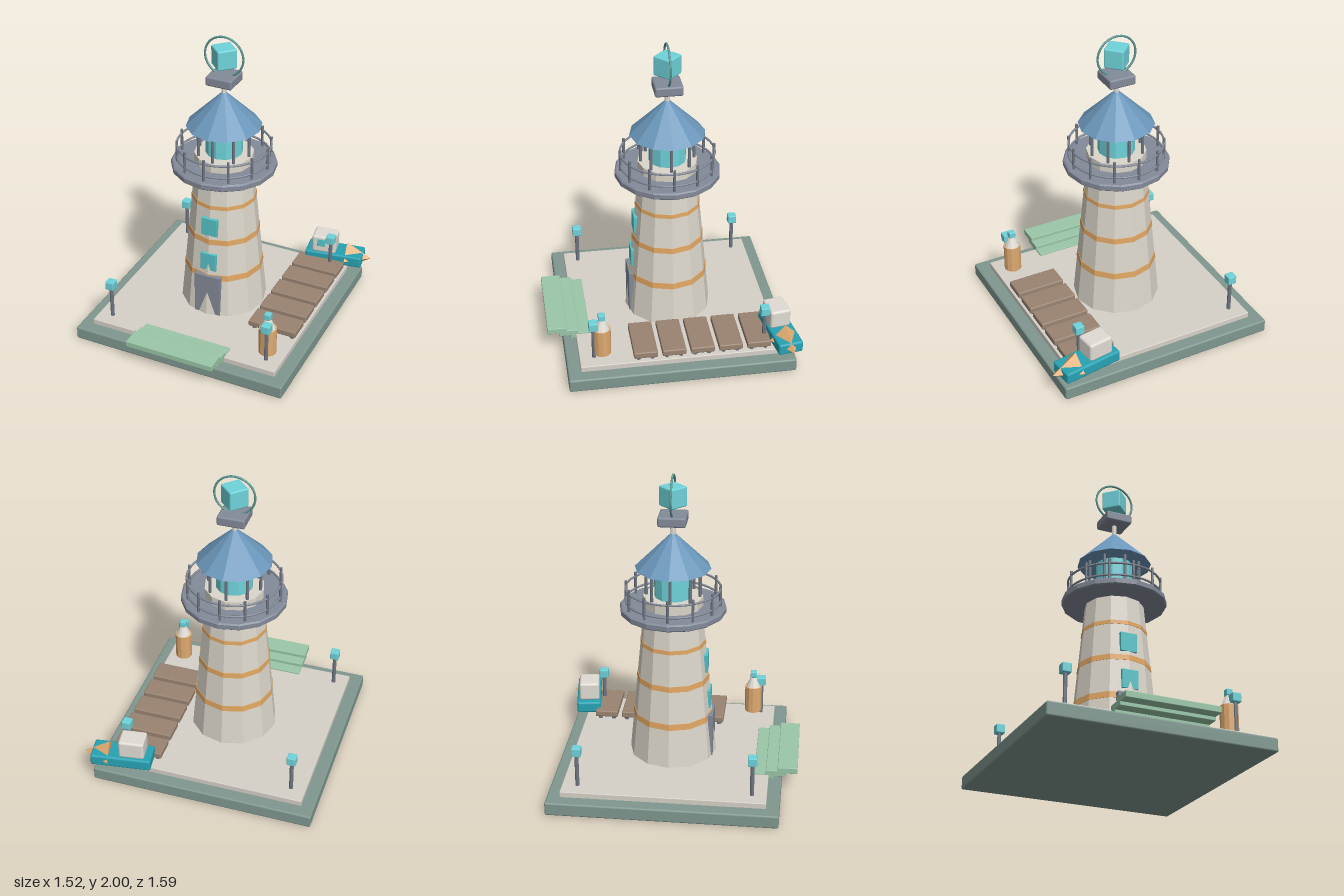
import * as THREE from 'three';
import { RoundedBoxGeometry } from 'three/addons/geometries/RoundedBoxGeometry.js';

const CX = -0.036, CZ = -0.034; // centre of the base and tower

const colors = {
  base: 0x7f978f, slab: 0xd6d1c8, wall: 0xdcd7cb, band: 0xe0a662, metal: 0x838a99, post: 0x6f7682,
  roof: 0x6b97bb, glass: 0x6fd3da, pane: 0x55c4c8, ring: 0x5f9a94, step: 0x9ac6a8, plank: 0x9a8472,
  hull: 0x27a3b4, wood: 0xdfaa70, white: 0xe0dcd4,
};
const mats = {};
function mat(name, flat = false) {
  const key = name + flat;
  mats[key] ??= new THREE.MeshStandardMaterial({ color: colors[name], flatShading: flat });
  return mats[key];
}

function add(parent, name, geometry, material, x = 0, y = 0, z = 0) {
  const mesh = new THREE.Mesh(geometry, material);
  mesh.name = name;
  mesh.position.set(x, y, z);
  parent.add(mesh);
  return mesh;
}

// Softly bevelled box, placed by its centre
function box(parent, name, color, [w, h, d], [x, y, z], bevel = 0.006) {
  return add(parent, name, new RoundedBoxGeometry(w, h, d, 2, bevel), mat(color), x, y, z);
}

// Faceted tapered column between two heights
function column(parent, name, color, rBottom, rTop, y0, y1, sides = 12, x = 0, z = 0) {
  const geometry = new THREE.CylinderGeometry(rTop, rBottom, y1 - y0, sides);
  return add(parent, name, geometry, mat(color, true), x, (y0 + y1) / 2, z);
}

function group(parent, name, x = 0, y = 0, z = 0) {
  const g = new THREE.Group();
  g.name = name;
  g.position.set(x, y, z);
  parent.add(g);
  return g;
}

// Evenly spaced upright posts around the tower axis
function postRing(parent, name, count, radius, thickness, y0, y1) {
  for (let i = 0; i < count; i++) {
    const a = (i / count) * Math.PI * 2;
    column(parent, name, 'post', thickness, thickness, y0, y1, 8, Math.sin(a) * radius, Math.cos(a) * radius);
  }
}

function hoop(parent, name, color, radius, tube, y) {
  return add(parent, name, new THREE.TorusGeometry(radius, tube, 8, 48), mat(color), 0, y, 0);
}

function buildTower(root) {
  const tower = group(root, 'tower', CX, 0, CZ);
  const Y0 = 0.12, Y1 = 1.092, R0 = 0.282, R1 = 0.19;
  const radiusAt = y => R0 + (R1 - R0) * (y - Y0) / (Y1 - Y0);
  column(tower, 'towerWall', 'wall', R0, R1, Y0, Y1);

  // Painted bands follow the taper
  for (const [y, h] of [[0.403, 0.04], [0.66, 0.036], [0.905, 0.026]]) {
    column(tower, 'band', 'band', radiusAt(y - h / 2) + 0.003, radiusAt(y + h / 2) + 0.003, y - h / 2, y + h / 2);
  }

  // Door and windows, just cut by the front ridge of the wall
  box(tower, 'door', 'metal', [0.18, 0.295, 0.04], [0, 0.27, 0.246], 0.004);
  box(tower, 'lowerWindow', 'pane', [0.11, 0.126, 0.03], [0, 0.513, 0.231], 0.004);
  box(tower, 'upperWindow', 'pane', [0.11, 0.126, 0.03], [0, 0.766, 0.211], 0.004);

  // Gallery deck with chamfered rim
  const rim = [[0, 1.104], [0.328, 1.104], [0.337, 1.112], [0.337, 1.142], [0.328, 1.15], [0, 1.15]]
    .map(p => new THREE.Vector2(...p));
  add(tower, 'galleryDeck', new THREE.LatheGeometry(rim, 16), mat('metal', true));

  // Railing
  postRing(tower, 'railPost', 12, 0.298, 0.009, 1.145, 1.295);
  for (const y of [1.185, 1.267]) hoop(tower, 'rail', 'metal', 0.298, 0.007, y).rotation.x = Math.PI / 2;

  // Lantern room
  column(tower, 'lanternCurb', 'wall', 0.19, 0.19, 1.15, 1.21);
  column(tower, 'lanternGlass', 'glass', 0.118, 0.118, 1.205, 1.405);
  postRing(tower, 'lanternPost', 8, 0.17, 0.01, 1.2, 1.405);
  column(tower, 'roof', 'roof', 0.24, 0.004, 1.4, 1.635);

  // Beacon above the roof
  column(tower, 'finial', 'white', 0.017, 0.017, 1.6, 1.695, 8);
  box(tower, 'beaconBase', 'metal', [0.176, 0.063, 0.176], [0, 1.72, 0], 0.012);
  box(tower, 'beaconCube', 'glass', [0.126, 0.128, 0.126], [0, 1.865, 0], 0.01).rotation.y = Math.PI / 4;
  hoop(tower, 'beaconRing', 'ring', 0.128, 0.007, 1.865);
}

function buildGround(root) {
  box(root, 'base', 'base', [1.45, 0.088, 1.45], [CX, 0.044, CZ], 0.012);
  box(root, 'slab', 'slab', [1.285, 0.045, 1.285], [CX, 0.102, CZ], 0.005);

  // Front steps rise outward
  for (let i = 0; i < 3; i++) {
    box(root, 'step', 'step', [0.6, 0.04, 0.127], [CX, 0.115 + i * 0.023, 0.579 + i * 0.074], 0.004);
  }

  // Plank walk on short legs
  for (let i = 0; i < 5; i++) {
    const z = -0.53 + i * 0.1815;
    box(root, 'plank', 'plank', [0.325, 0.043, 0.152], [0.441, 0.168, z], 0.008);
    for (const x of [0.31, 0.572]) {
      for (const dz of [-0.045, 0.045]) column(root, 'plankLeg', 'post', 0.014, 0.014, 0.12, 0.155, 8, x, z + dz);
    }
  }

  // Corner lamps
  for (const x of [-0.585, 0.51]) {
    for (const z of [-0.578, 0.516]) {
      column(root, 'lampPost', 'post', 0.013, 0.013, 0.12, 0.345, 8, x, z);
      box(root, 'lampHead', 'glass', [0.058, 0.058, 0.058], [x, 0.368, z]);
    }
  }
}

function buildBuoy(root) {
  const buoy = group(root, 'buoy', 0.496, 0, 0.462);
  column(buoy, 'buoyBody', 'wood', 0.057, 0.057, 0.148, 0.332);
  column(buoy, 'buoyCap', 'white', 0.05, 0.014, 0.332, 0.41);
  box(buoy, 'buoyLight', 'glass', [0.042, 0.042, 0.042], [0, 0.42, 0], 0.005);
}

function buildBoat(root) {
  const boat = group(root, 'boat', 0.508, 0, -0.685);
  boat.rotation.y = 0.143;
  box(boat, 'hull', 'hull', [0.392, 0.078, 0.163], [0, 0.191, 0], 0.014);
  box(boat, 'cabin', 'white', [0.165, 0.125, 0.135], [-0.07, 0.288, 0.004], 0.016);
  box(boat, 'cabinWindow', 'pane', [0.055, 0.054, 0.012], [-0.087, 0.303, 0.07], 0.003);
  // Four-sided bow pushed into the hull
  const bow = add(boat, 'bow', new THREE.ConeGeometry(0.1, 0.17, 4), mat('wood', true), 0.166, 0.195, 0);
  bow.rotation.z = -Math.PI / 2;
}

export function createModel() {
  const root = new THREE.Group();
  root.name = 'lighthouse';
  buildGround(root);
  buildTower(root);
  buildBuoy(root);
  buildBoat(root);
  return root;
}
